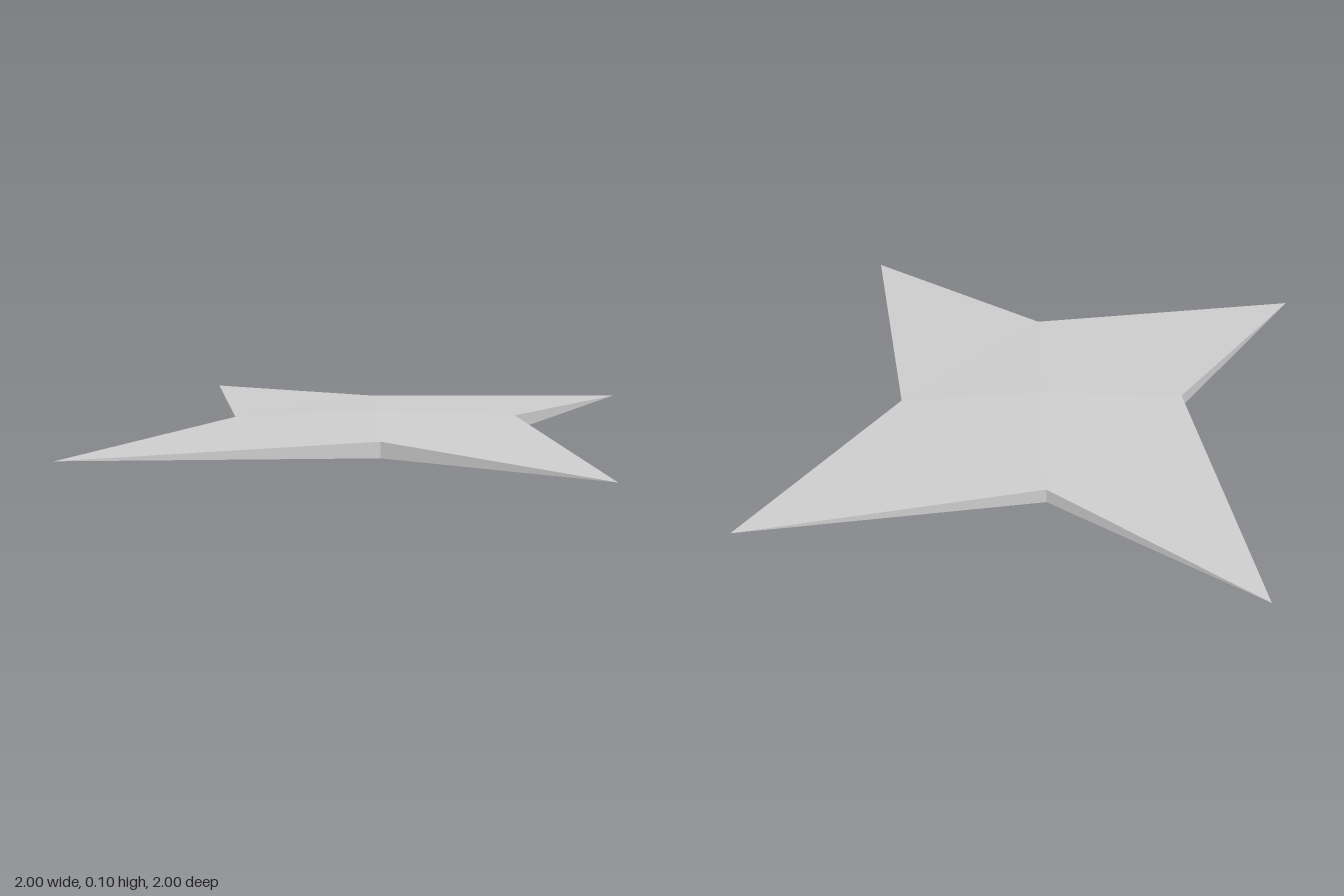
import * as THREE from 'three';

const MID = 0.05; // height of the cutting edge plane

// One blade, pointing to +x +z; a quarter of the star
function bladeGeometry() {
  const P = (x, y, z) => [x, MID + y, z];
  const tip = P(0.65, 0, 1);
  const top = P(0, 0.05, 0), bottom = P(0, -0.05, 0);
  const aTop = P(0, 0.027, 0.5), aBot = P(0, -0.027, 0.5);
  const bTop = P(0.5, 0.027, 0), bBot = P(0.5, -0.027, 0);
  const faces = [
    [top, aTop, bTop], [aTop, tip, bTop],       // upper side
    [bottom, bBot, aBot], [aBot, bBot, tip],    // lower side
    [aBot, tip, aTop], [tip, bBot, bTop],       // tapering edges
  ];
  const geometry = new THREE.BufferGeometry();
  geometry.setAttribute('position', new THREE.Float32BufferAttribute(faces.flat(2), 3));
  geometry.computeVertexNormals();
  return geometry;
}

export function createModel() {
  const group = new THREE.Group();
  group.name = 'throwingStar';
  const steel = new THREE.MeshStandardMaterial({ color: 0xcccccc });
  steel.name = 'steel grey';
  steel.flatShading = true;

  // Four blades around the centre
  const geometry = bladeGeometry();
  for (let i = 0; i < 4; i++) {
    const blade = new THREE.Mesh(geometry, steel);
    blade.name = `blade${i + 1}`;
    blade.rotation.y = i * Math.PI / 2;
    group.add(blade);
  }
  return group;
}
